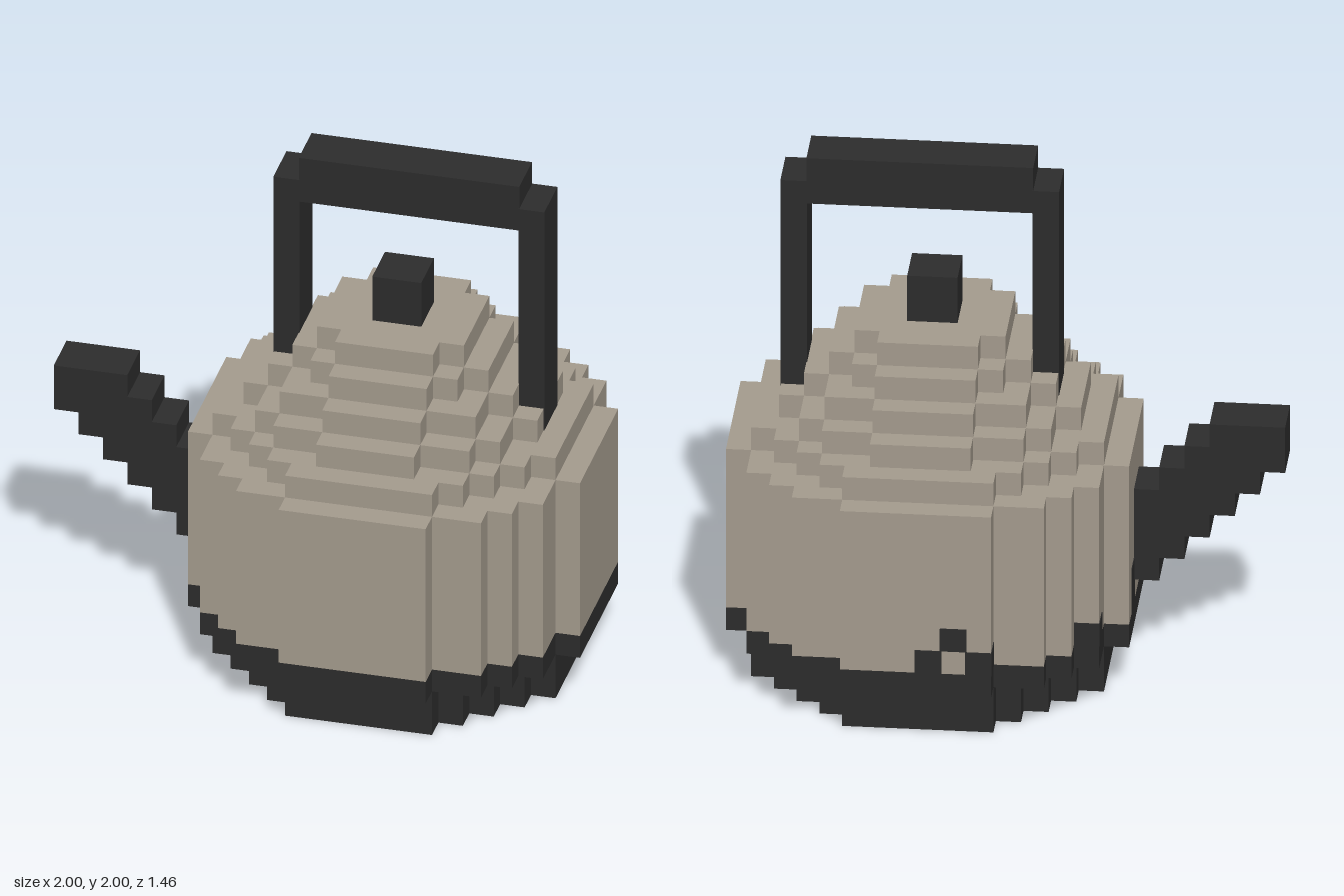
import * as THREE from 'three';

const U = 1 / 11; // size of one block
const CX = 3;     // body axis, in blocks

const stone = new THREE.MeshStandardMaterial({ color: 0xa69d8f });
stone.name = 'warm grey';
const black = new THREE.MeshStandardMaterial({ color: 0x2d2d2d });
black.name = 'charcoal';

// Box between block coordinates, optionally grown a little to sit proud of a flush face
function block(name, x0, x1, y0, y1, z0, z1, grow = 0) {
  const g = new THREE.BoxGeometry(
    (x1 - x0 + grow * 2) * U, (y1 - y0) * U, (z1 - z0 + grow * 2) * U);
  const mesh = new THREE.Mesh(g, black);
  mesh.name = name;
  mesh.position.set((x0 + x1) / 2 * U, (y0 + y1) / 2 * U, (z0 + z1) / 2 * U);
  return mesh;
}

// Round slab with a stepped outline, radius r in blocks
function disc(name, r, y0, y1, material) {
  const half = [];
  for (let i = -r; i < r; i++) {
    half.push(Math.round(Math.sqrt(r * r - (i + 0.5) ** 2)));
  }
  const edge = [];
  half.forEach((w, i) => {
    if (i === 0 || w !== half[i - 1]) edge.push([i - r, w]);
    if (w !== half[i + 1]) edge.push([i + 1 - r, w]);
  });
  const outline = [...edge, ...edge.map(([x, w]) => [x, -w]).reverse()]
    .map(([x, z]) => new THREE.Vector2(x * U, z * U));
  const g = new THREE.ExtrudeGeometry(new THREE.Shape(outline), {
    depth: (y1 - y0) * U, bevelEnabled: false,
  });
  g.rotateX(-Math.PI / 2);
  const mesh = new THREE.Mesh(g, material);
  mesh.name = name;
  mesh.position.set(CX * U, y0 * U, 0);
  return mesh;
}

export function createModel() {
  const model = new THREE.Group();
  model.name = 'kettle';

  // Base, band and body
  model.add(disc('base', 7, 0, 2, black));
  model.add(disc('band', 8, 2, 3, black));
  model.add(disc('body', 8, 3, 10, stone));

  // Stepped shoulder, one block per layer
  for (let i = 0; i < 5; i++) {
    model.add(disc('shoulder', 7 - i, 10 + i, 11 + i, stone));
  }
  model.add(block('lidKnob', 2, 4, 15, 17, -1, 1));

  // Handle
  const handle = new THREE.Group();
  handle.name = 'handle';
  handle.add(block('handlePost', -2, -1, 12, 21, -1, 1, 0.03));
  handle.add(block('handlePost', 8, 9, 11, 21, -1, 1, 0.03));
  handle.add(block('handleGrip', -1, 8, 20, 22, -1, 1));
  model.add(handle);

  // Spout climbing away from the body: bottom and top of each column
  const spout = new THREE.Group();
  spout.name = 'spout';
  const columns = [[4, 8], [5, 9], [6, 10], [7, 11], [8, 11], [9, 11]];
  columns.forEach(([y0, y1], i) => {
    spout.add(block('spoutStep', -6 - i, -5 - i, y0, y1, -1, 1));
  });
  model.add(spout);

  // Scorch marks above the band: x, y, z of each block and its height
  const marks = [[2, 3, -8, 1], [1, 4, -8, 1], [0, 3, -8, 1], [-4, 3, -5, 1], [-5, 3, -2, 2]];
  for (const [x, y, z, h] of marks) {
    model.add(block('scorchMark', x, x + 1, y, y + h, z, z + 1, 0.03));
  }
  return model;
}
